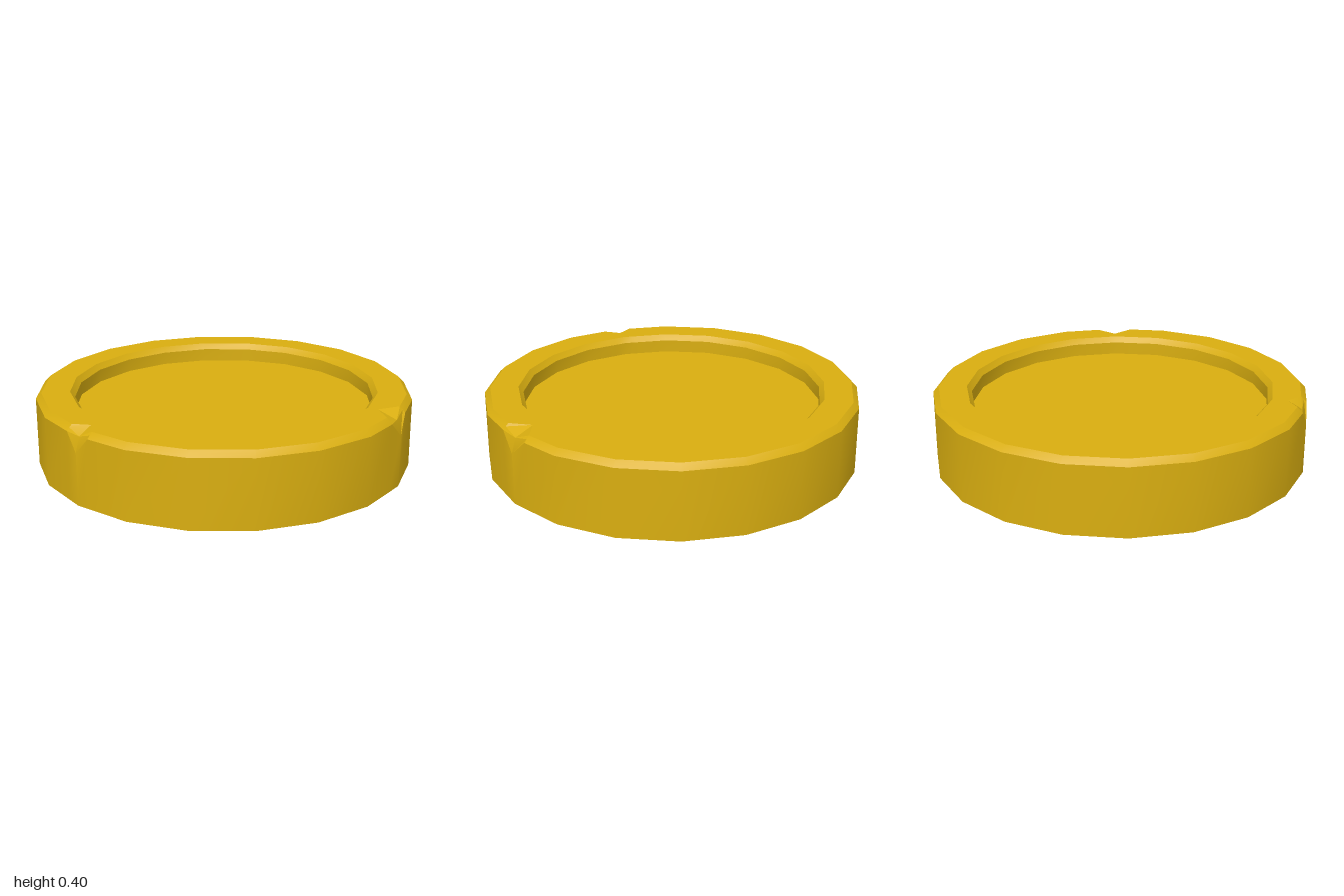
import * as THREE from 'three';
import { toCreasedNormals } from 'three/addons/utils/BufferGeometryUtils.js';

const SIDES = 20;

// Profile [radius, height], from the top centre over the rim to the bottom centre
const PROFILE = [
  [0, 0.295], [0.795, 0.295], [0.795, 0.365], [0.82, 0.395], // upper recess
  [0.97, 0.395], [0.985, 0.38], [1, 0.365],                  // rim and bevel
  [1, 0], [0.86, 0],                                         // wall and lower rim
  [0.83, 0.03], [0.83, 0.095], [0, 0.095],                   // lower recess
];

// Nicks in the upper edge: corner index, half width as a share of a side, inner radius
const NICKS = [
  { corner: 4, width: 0.32, inner: 0.873 },
  { corner: 10, width: 0.26, inner: 0.9 },
];

// The bevel points pushed in at the middle of a nick
function nickProfile(inner) {
  const p = PROFILE.map((q) => [...q]);
  p[4] = [inner, 0.395];
  p[5] = [0.975, 0.355];
  p[6] = [1, 0.275];
  return p;
}

// One column: the profile stood up at position s along the polygon outline
function column(s, profile) {
  const i = Math.floor(s), t = s - i;
  const corner = (k) => {
    const a = (k / SIDES) * Math.PI * 2;
    return new THREE.Vector2(Math.cos(a), Math.sin(a));
  };
  const dir = corner(i).lerp(corner(i + 1), t);
  return profile.map(([r, y]) => [dir.x * r, y, dir.y * r]);
}

function coinGeometry() {
  const columns = [];
  for (let i = 0; i < SIDES; i++) {
    const nick = NICKS.find((n) => n.corner === i);
    if (nick) {
      columns.push(column(i - nick.width, PROFILE));
      columns.push(column(i, nickProfile(nick.inner)));
      columns.push(column(i + nick.width, PROFILE));
    } else {
      columns.push(column(i, PROFILE));
    }
  }

  const positions = [];
  const last = PROFILE.length - 2;
  columns.forEach((c, j) => {
    const n = columns[(j + 1) % columns.length];
    for (let i = 0; i <= last; i++) {
      if (i < last) positions.push(...c[i], ...n[i + 1], ...c[i + 1]);
      if (i > 0) positions.push(...c[i], ...n[i], ...n[i + 1]);
    }
  });

  const geometry = new THREE.BufferGeometry();
  geometry.setAttribute('position', new THREE.Float32BufferAttribute(positions, 3));
  return toCreasedNormals(geometry, 0.4);
}

export function createModel() {
  const group = new THREE.Group();
  group.name = 'coin';
  const gold = new THREE.MeshStandardMaterial({ color: 0xd9ae10 });
  const coin = new THREE.Mesh(coinGeometry(), gold);
  coin.name = 'nickedCoin';
  group.add(coin);
  return group;
}
